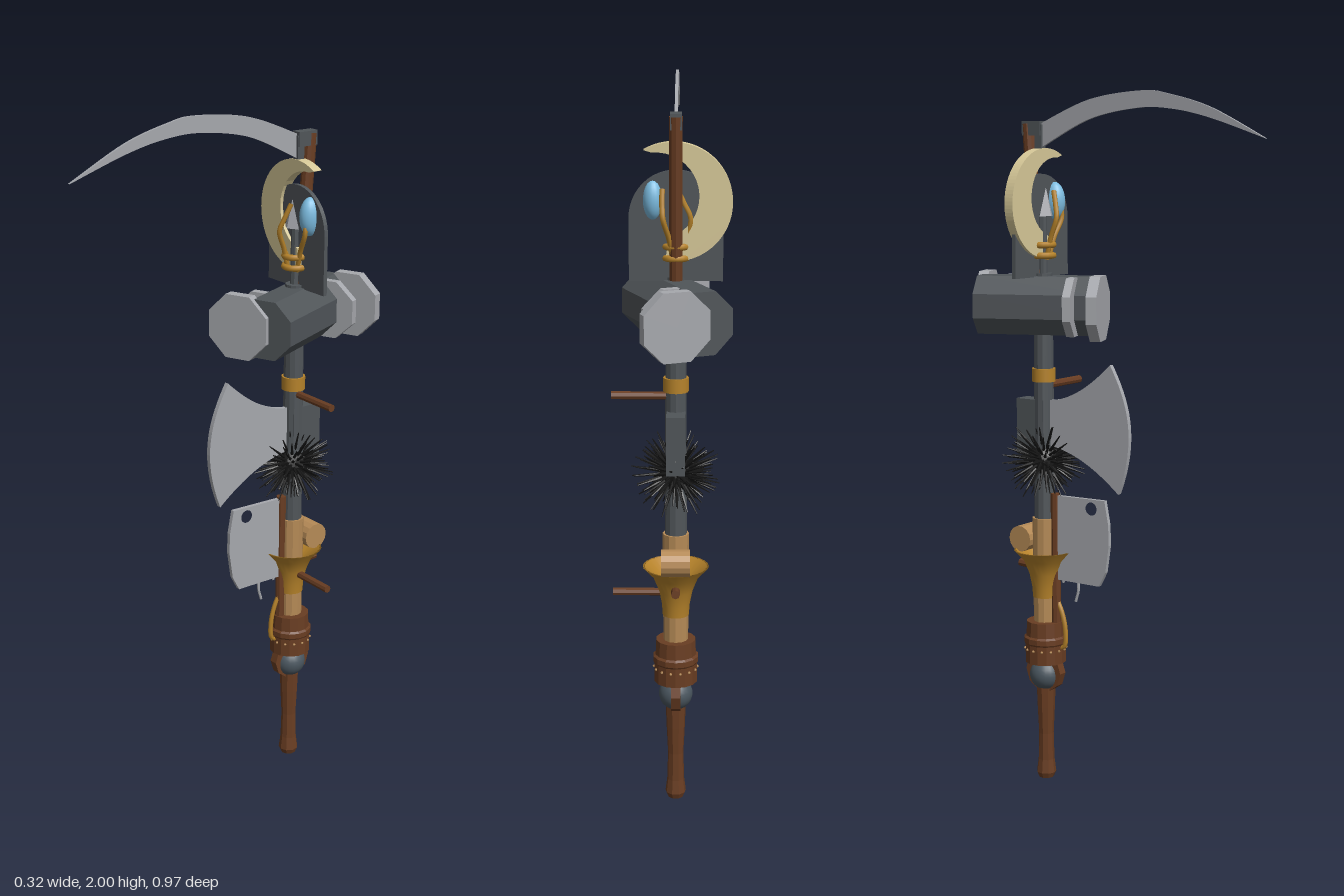
import * as THREE from 'three';

const PX = -0.012, PZ = -0.235; // axis of the stacked shaft

export function createModel() {
  const root = new THREE.Group();
  root.name = 'weaponStack';
  const mat = (name, color, opts = {}) => {
    const m = new THREE.MeshStandardMaterial({ color, flatShading: true, ...opts });
    m.name = name;
    return m;
  };
  const steel = mat('light steel', 0xa6a8ad);
  const iron = mat('dark iron', 0x505559);
  const bone = mat('bone', 0xd6c898);
  const gold = mat('brass', 0xb5822a, { flatShading: false, side: THREE.DoubleSide });
  const wood = mat('dark wood', 0x693d22);
  const tan = mat('pale wood', 0xb58a56);
  const blue = mat('blue crystal', 0x7cbce0, { flatShading: false });
  const black = mat('black spikes', 0x151515);
  const ballSteel = mat('blue steel', 0x4a565f, { flatShading: false });

  const add = (name, geo, m, x = 0, y = 0, z = 0, parent = root) => {
    const mesh = new THREE.Mesh(geo, m);
    mesh.name = name;
    mesh.position.set(x, y, z);
    parent.add(mesh);
    return mesh;
  };
  const V = (x, y, z) => new THREE.Vector3(x, y, z);
  // Upright cylinder on the shaft axis between two heights
  const post = (name, y0, y1, r0, r1, m, sides = 12, z = PZ) =>
    add(name, new THREE.CylinderGeometry(r1, r0, y1 - y0, sides), m, PX, (y0 + y1) / 2, z);
  // Straight rod between two points
  const rod = (name, a, b, r, m, sides = 8) => {
    const mesh = add(name, new THREE.CylinderGeometry(r, r, a.distanceTo(b), sides), m);
    mesh.position.copy(a).lerp(b, 0.5);
    mesh.quaternion.setFromUnitVectors(V(0, 1, 0), b.clone().sub(a).normalize());
    return mesh;
  };
  const tube = (name, pts, r, m) =>
    add(name, new THREE.TubeGeometry(new THREE.CatmullRomCurve3(pts), 20, r, 6), m);
  // Plate drawn in z and y, centred on the shaft in x
  const sidePlate = (name, shape, t, m) => {
    const g = new THREE.ExtrudeGeometry(shape, { depth: t, bevelEnabled: false, curveSegments: 16 });
    g.translate(0, 0, -t / 2).rotateY(-Math.PI / 2);
    return add(name, g, m, PX, 0, 0);
  };
  const v2 = (list) => list.map(([a, b]) => new THREE.Vector2(a, b));

  // Bottom club handle
  add('clubHandle', new THREE.LatheGeometry(v2([[0, 0], [0.022, 0.004], [0.029, 0.02], [0.024, 0.06],
    [0.022, 0.14], [0.026, 0.22], [0.029, 0.3], [0, 0.3]]), 9), wood, PX, 0.005, PZ);

  // Sling: ball held in a strap
  add('slingBall', new THREE.SphereGeometry(0.047, 20, 14), ballSteel, PX, 0.325, PZ);
  const strap = add('slingStrap', new THREE.CylinderGeometry(0.062, 0.062, 0.026, 10), wood, PX, 0.335, PZ);
  strap.rotation.z = Math.PI / 2;

  // Leather cuff with studs
  add('leatherCuff', new THREE.LatheGeometry(v2([[0, 0.365], [0.06, 0.365], [0.06, 0.42], [0.063, 0.425],
    [0.063, 0.44], [0.057, 0.445], [0.055, 0.488], [0, 0.488]]), 14), wood, PX, 0, PZ);
  for (let i = 0; i < 14; i++) {
    const a = i / 14 * Math.PI * 2;
    add('cuffStud', new THREE.SphereGeometry(0.004, 6, 4), tan, PX + Math.cos(a) * 0.06, 0.405, PZ + Math.sin(a) * 0.06);
  }

  // Pale grip, horn and cross mallet
  post('paleGrip', 0.47, 0.795, 0.034, 0.036, tan);
  const horn = v2([[0.036, 0.56], [0.038, 0.59], [0.046, 0.63], [0.062, 0.67], [0.09, 0.7], [0.084, 0.7], [0.036, 0.66]]);
  add('horn', new THREE.LatheGeometry(horn, 24), gold, PX, 0, PZ);
  const mallet = add('mallet', new THREE.CylinderGeometry(0.038, 0.038, 0.078, 14), tan, PX, 0.73, -0.297);
  mallet.rotation.z = Math.PI / 2;
  rod('backPeg', V(PX, 0.645, -0.25), V(PX, 0.65, -0.325), 0.012, wood);
  tube('hornLoop', [V(PX, 0.56, -0.195), V(PX, 0.52, -0.175), V(PX, 0.47, -0.163), V(PX, 0.42, -0.166),
    V(PX, 0.41, -0.185)], 0.007, gold);
  tube('hook', [V(PX, 0.61, -0.17), V(PX, 0.655, -0.15), V(PX, 0.645, -0.125), V(PX, 0.6, -0.115),
    V(PX, 0.56, -0.125)], 0.004, steel);

  // Side pegs
  for (const y of [0.625, 1.18]) rod('sidePeg', V(PX, y, PZ), V(0.16, y, PZ), 0.011, wood);

  // Cleaver with a hanging hole
  const cleaver = new THREE.Shape(v2([[-0.02, 0.868], [-0.007, 0.8], [-0.005, 0.74], [-0.017, 0.66],
    [-0.04, 0.617], [-0.19, 0.617], [-0.19, 0.865]]));
  cleaver.holes.push(new THREE.Path().absarc(-0.066, 0.84, 0.019, 0, Math.PI * 2, true));
  sidePlate('cleaverBlade', cleaver, 0.012, steel);
  rod('cleaverHandle', V(PX, 0.46, -0.196), V(PX, 0.87, -0.196), 0.014, wood);

  // Iron shaft with brass collar
  post('ironShaft', 0.78, 1.5, 0.03, 0.027, iron);
  post('brassCollar', 1.192, 1.23, 0.034, 0.034, gold, 16);

  // Spiked ball, spikes spread on a golden spiral
  const spikes = new THREE.Group();
  spikes.name = 'spikedBall';
  spikes.position.set(PX, 0.965, PZ);
  root.add(spikes);
  add('spikeCore', new THREE.IcosahedronGeometry(0.048, 1), black, 0, 0, 0, spikes);
  const N = 170;
  for (let i = 0; i < N; i++) {
    const h = 1 - 2 * (i + 0.5) / N, a = i * 2.39996, s = Math.sqrt(1 - h * h);
    const d = V(s * Math.cos(a), h, s * Math.sin(a));
    const len = 0.07 + 0.014 * Math.sin(i * 7.3);
    const m = add('spike', new THREE.CylinderGeometry(0.0015, 0.005, len, 5), black, 0, 0, 0, spikes);
    m.position.copy(d).multiplyScalar(0.04 + len / 2);
    m.quaternion.setFromUnitVectors(V(0, 1, 0), d);
  }

  // Axe
  const axe = new THREE.Shape();
  axe.moveTo(-0.22, 1.14);
  axe.quadraticCurveTo(-0.12, 1.14, 0, 1.255);
  axe.bezierCurveTo(0.055, 1.16, 0.095, 1.06, 0.028, 0.892);
  axe.quadraticCurveTo(-0.1, 1.0, -0.22, 1.01);
  axe.closePath();
  sidePlate('axeBlade', axe, 0.014, steel);
  add('axePoll', new THREE.BoxGeometry(0.05, 0.16, 0.095), iron, PX, 1.06, -0.267);

  // Great hammer: every piece is turned by the same angle about its own centre
  const hammerPiece = (name, apothem, len, z, m) => {
    const g = new THREE.CylinderGeometry(apothem / Math.cos(Math.PI / 8), apothem / Math.cos(Math.PI / 8), len, 8);
    g.rotateY(Math.PI / 8).rotateX(Math.PI / 2);
    const mesh = add(name, g, m, PX, 1.41, z);
    mesh.rotation.y = 0.4;
    return mesh;
  };
  hammerPiece('hammerBody', 0.0825, 0.36, -0.24, iron);
  for (const s of [-1, 1]) {
    hammerPiece('hammerFace', 0.09, 0.03, -0.24 + s * 0.195, steel);
    hammerPiece('hammerBand', 0.089, 0.023, -0.24 + s * 0.11, steel).scale.y = 0.92;
  }

  // Spade blade standing behind the crescent
  const spade = new THREE.Shape();
  spade.moveTo(-0.122, 1.49);
  spade.lineTo(0.122, 1.49);
  spade.lineTo(0.122, 1.655);
  spade.absarc(0, 1.655, 0.122, 0, Math.PI, false);
  spade.closePath();
  add('spadeBlade', new THREE.ExtrudeGeometry(spade, { depth: 0.012, bevelEnabled: false }), iron, PX, 0, -0.25);

  // Bone crescent
  const moon = new THREE.Shape();
  const o = { x: -0.005, y: 1.695, r: 0.153 }, n = { x: 0.04, y: 1.71, r: 0.112 };
  const a0 = 1.05, a1 = 4.85;
  moon.absarc(o.x, o.y, o.r, a0, a1, false);
  const end = (a) => Math.atan2(o.y + o.r * Math.sin(a) - n.y, o.x + o.r * Math.cos(a) - n.x);
  const b0 = end(a0), b1 = end(a1) + Math.PI * 2;
  for (let i = 1; i < 20; i++) {
    const b = b1 + (b0 - b1) * i / 20;
    moon.lineTo(n.x + n.r * Math.cos(b), n.y + n.r * Math.sin(b));
  }
  moon.closePath();
  add('crescent', new THREE.ExtrudeGeometry(moon, { depth: 0.028, bevelEnabled: false, curveSegments: 28 }), bone, 0, 0, -0.256);

  // Spear tip
  const tip = add('spearTip', new THREE.ConeGeometry(0.03, 0.08, 4), steel, PX, 1.7, PZ + 0.012);
  tip.scale.z = 0.6;
  post('spearShaft', 1.48, 1.665, 0.013, 0.012, iron, 8);

  // Brass claw around the crystal
  for (const y of [1.55, 1.58]) {
    const ring = add('clawRing', new THREE.TorusGeometry(0.03, 0.009, 8, 18), gold, PX, y, PZ);
    ring.rotation.x = Math.PI / 2;
  }
  for (let i = 0; i < 4; i++) {
    const a = i * Math.PI / 2 + 0.35, c = Math.cos(a), s = Math.sin(a);
    const at = (r, y, lean) => V(PX + lean + r * c, y, PZ + r * s);
    tube('clawProng', [at(0.02, 1.54, 0), at(0.035, 1.6, 0.005), at(0.055, 1.655, 0.014), at(0.045, 1.69, 0.02),
      at(0.03, 1.73, 0.025)], 0.007, gold);
  }
  const crystal = add('crystal', new THREE.SphereGeometry(1, 20, 14), blue, 0.048, 1.7, PZ - 0.003);
  crystal.scale.set(0.027, 0.054, 0.032);

  // Scythe: leaning handle, iron socket and long curved blade
  rod('scytheHandle', V(PX, 1.46, -0.247), V(PX, 1.915, -0.283), 0.018, wood, 10);
  add('scytheSocket', new THREE.BoxGeometry(0.03, 0.04, 0.062), iron, PX, 1.902, -0.264);
  add('scytheTang', new THREE.BoxGeometry(0.022, 0.07, 0.022), iron, PX, 1.877, -0.242);
  const scythe = new THREE.Shape();
  scythe.moveTo(-0.245, 1.912);
  scythe.splineThru(v2([[-0.074, 1.978], [0.1, 2.0], [0.19, 1.989], [0.32, 1.952], [0.485, 1.872]]));
  scythe.splineThru(v2([[0.32, 1.925], [0.2, 1.95], [0.085, 1.954], [-0.074, 1.925], [-0.235, 1.85]]));
  scythe.closePath();
  sidePlate('scytheBlade', scythe, 0.008, steel);

  return root;
}
